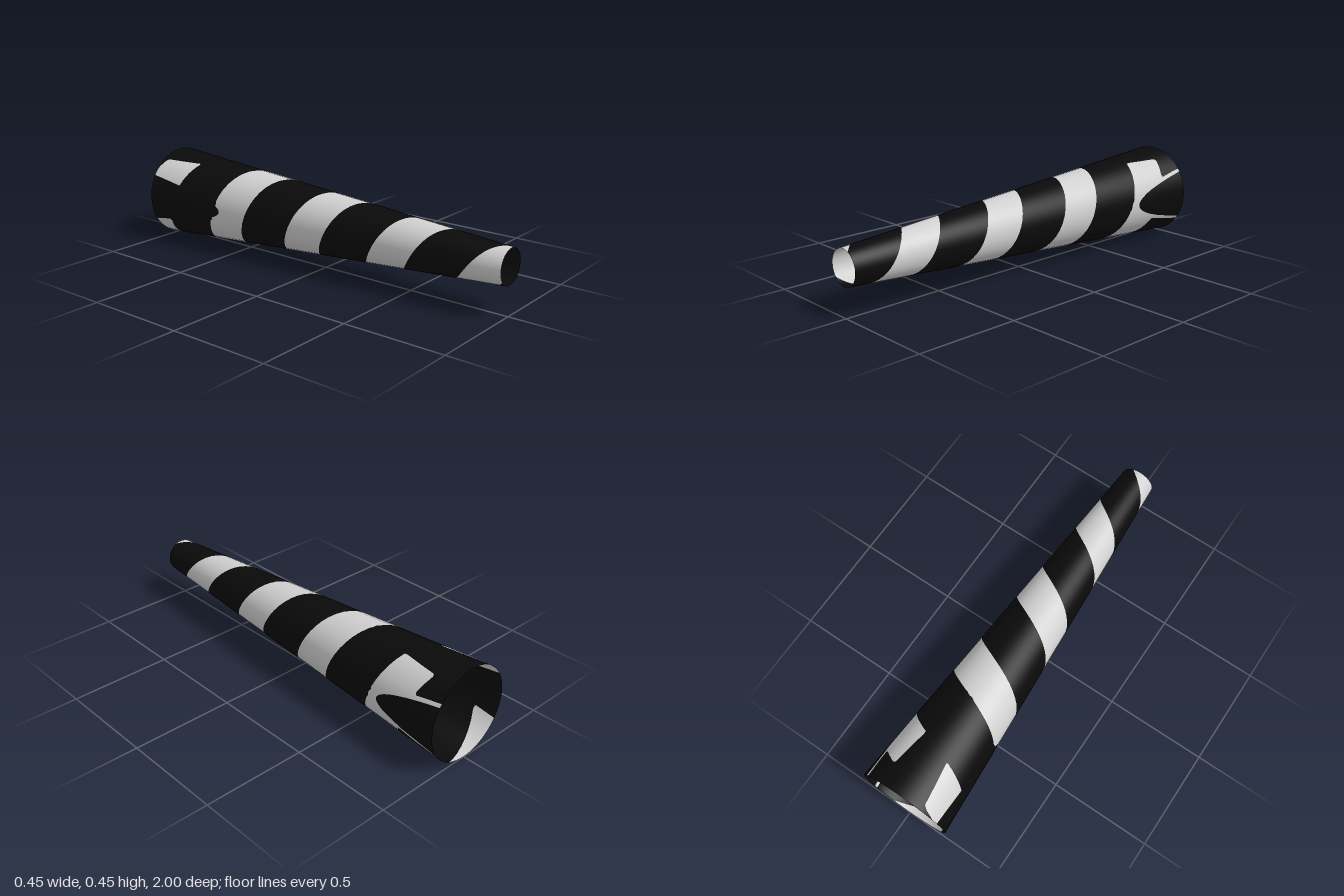
import * as THREE from 'three';

const CENTRE_Y = 0.2275, SIDES = 32, COLS = 256, ROWS = 120;
const TAPER = 0.071, PITCH = 0.475, BAND = 0.205;
const radius = (z) => 0.156 - TAPER * z;

// Point on the many-sided tapered tube at angle a and depth z
function surface(a, z) {
  const step = (2 * Math.PI) / SIDES;
  const local = a - (Math.floor(a / step + 1e-6) + 0.5) * step;
  const r = (radius(z) * Math.cos(step / 2)) / Math.cos(local);
  return [r * Math.cos(a), r * Math.sin(a), z];
}

// Positive inside the pale pattern, negative in the dark area
function pattern(a, z) {
  const r = radius(z), x = r * Math.cos(a), y = r * Math.sin(a);
  // Helical stripe
  let d = z - (0.61 + BAND / 2 - (PITCH * a) / (2 * Math.PI));
  d -= PITCH * Math.round(d / PITCH);
  let f = BAND / 2 - Math.abs(d);
  // Dark areas on the top and the -x side of the wide end
  f = Math.min(f, 0.42 - CENTRE_Y - y, x + 0.194);
  // Dark pointed panel on the +x side with a thin pale outline
  const outside = 0.203 + 0.035 * (z + 0.66) - x;
  f = Math.max(f, Math.min(outside, 0.01 - outside, -0.64 - z));
  return Math.min(f, outside);
}

// Cut a triangle along the pattern border, keeping the part where sign * f > 0
function clip(tri, sign) {
  const out = [];
  tri.forEach((p, i) => {
    const q = tri[(i + 1) % 3];
    const fp = p.f * sign, fq = q.f * sign;
    if (fp >= 0) out.push(p);
    if ((fp > 0 && fq < 0) || (fp < 0 && fq > 0)) {
      const t = fp / (fp - fq);
      out.push({ a: p.a + (q.a - p.a) * t, z: p.z + (q.z - p.z) * t });
    }
  });
  return out;
}

// All of the tube wall that has one colour
function wall(sign) {
  const pos = [], nor = [];
  const put = (p) => {
    pos.push(...surface(p.a, p.z));
    const n = new THREE.Vector3(Math.cos(p.a), Math.sin(p.a), TAPER).normalize();
    nor.push(n.x, n.y, n.z);
  };
  const point = (i, j) => {
    const a = (i / COLS) * 2 * Math.PI, z = -1 + (2 * j) / ROWS;
    return { a, z, f: pattern(a, z) };
  };
  for (let i = 0; i < COLS; i++) {
    for (let j = 0; j < ROWS; j++) {
      const p = point(i, j), q = point(i + 1, j), r = point(i + 1, j + 1), s = point(i, j + 1);
      for (const tri of [[p, q, r], [p, r, s]]) {
        const poly = clip(tri, sign);
        for (let k = 1; k + 1 < poly.length; k++) [poly[0], poly[k], poly[k + 1]].forEach(put);
      }
    }
  }
  const geo = new THREE.BufferGeometry();
  geo.setAttribute('position', new THREE.Float32BufferAttribute(pos, 3));
  geo.setAttribute('normal', new THREE.Float32BufferAttribute(nor, 3));
  return geo;
}

export function createModel() {
  const group = new THREE.Group();
  group.name = 'stripedTaperedTube';

  const black = new THREE.MeshStandardMaterial({ color: 0x0a0a0a, side: THREE.DoubleSide });
  black.name = 'black';
  const paleGrey = new THREE.MeshStandardMaterial({ color: 0xd0d0d0, side: THREE.DoubleSide });
  paleGrey.name = 'paleGrey';

  // Open-ended wall, split by colour
  for (const [name, sign, material] of [['darkWall', -1, black], ['paleStripes', 1, paleGrey]]) {
    const mesh = new THREE.Mesh(wall(sign), material);
    mesh.name = name;
    mesh.position.y = CENTRE_Y;
    group.add(mesh);
  }
  return group;
}
